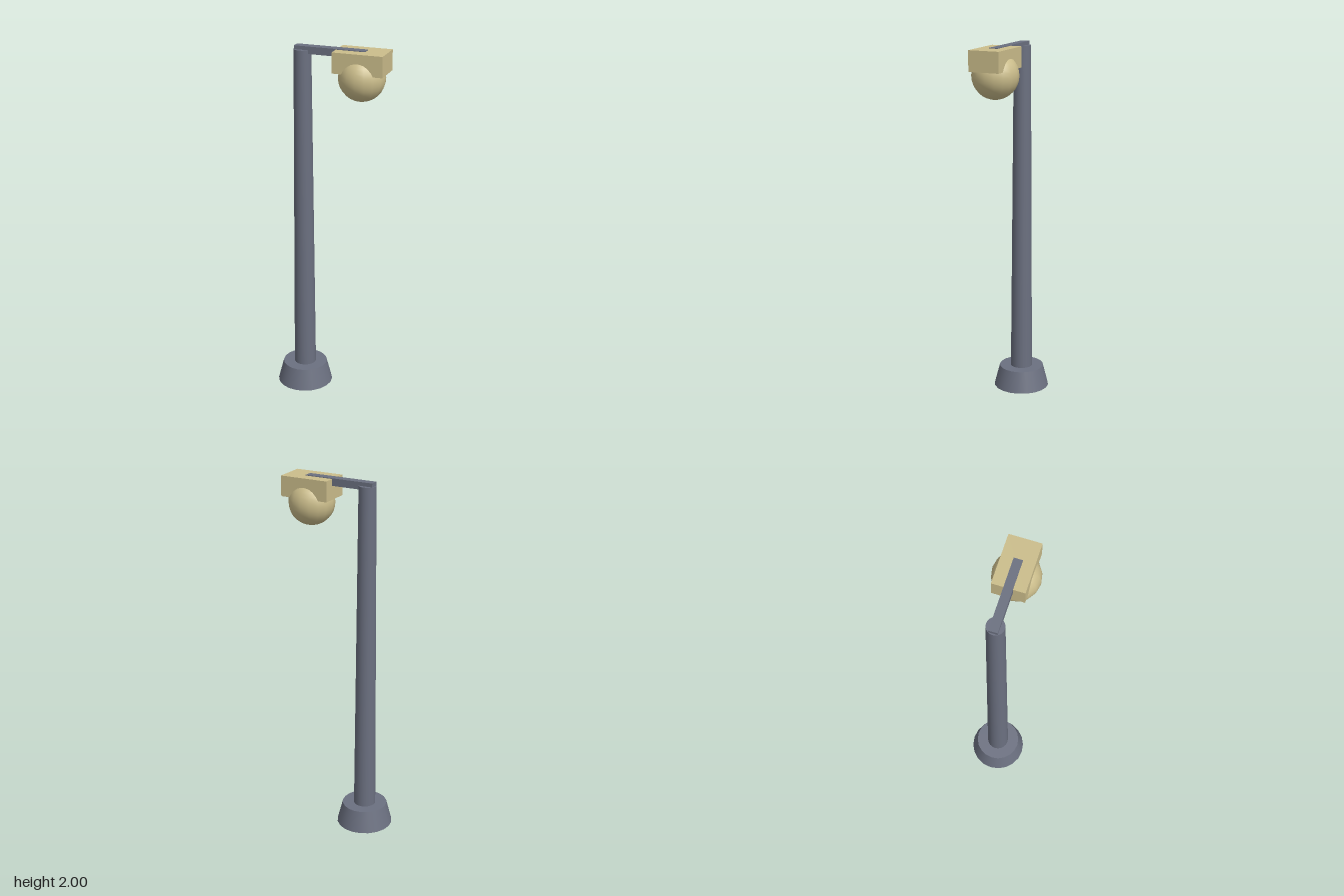
import * as THREE from 'three';

export function createModel() {
  const model = new THREE.Group();
  model.name = 'streetLamp';

  const metal = new THREE.MeshStandardMaterial({ color: 0x6b7080 });
  metal.name = 'slate grey metal';
  const cream = new THREE.MeshStandardMaterial({ color: 0xcbbd8b });
  cream.name = 'warm cream';

  const add = (name, geometry, material, x, y, z = 0) => {
    const mesh = new THREE.Mesh(geometry, material);
    mesh.name = name;
    mesh.position.set(x, y, z);
    model.add(mesh);
    return mesh;
  };

  const postX = -0.157;
  const lampX = 0.175;

  // Tapered foot and post
  add('base', new THREE.CylinderGeometry(0.126, 0.157, 0.12, 20), metal, postX, 0.06);
  add('post', new THREE.CylinderGeometry(0.047, 0.063, 1.98, 20), metal, postX, 0.99);

  // Horizontal arm, standing slightly proud of the lamp housing
  add('arm', new THREE.BoxGeometry(0.394, 0.04, 0.047), metal, 0.001, 1.98);

  // Lamp housing with the globe set into its underside
  add('lampHousing', new THREE.BoxGeometry(0.274, 0.111, 0.172), cream, lampX, 1.941);
  add('globe', new THREE.SphereGeometry(0.126, 16, 16), cream, lampX, 1.855);

  return model;
}
